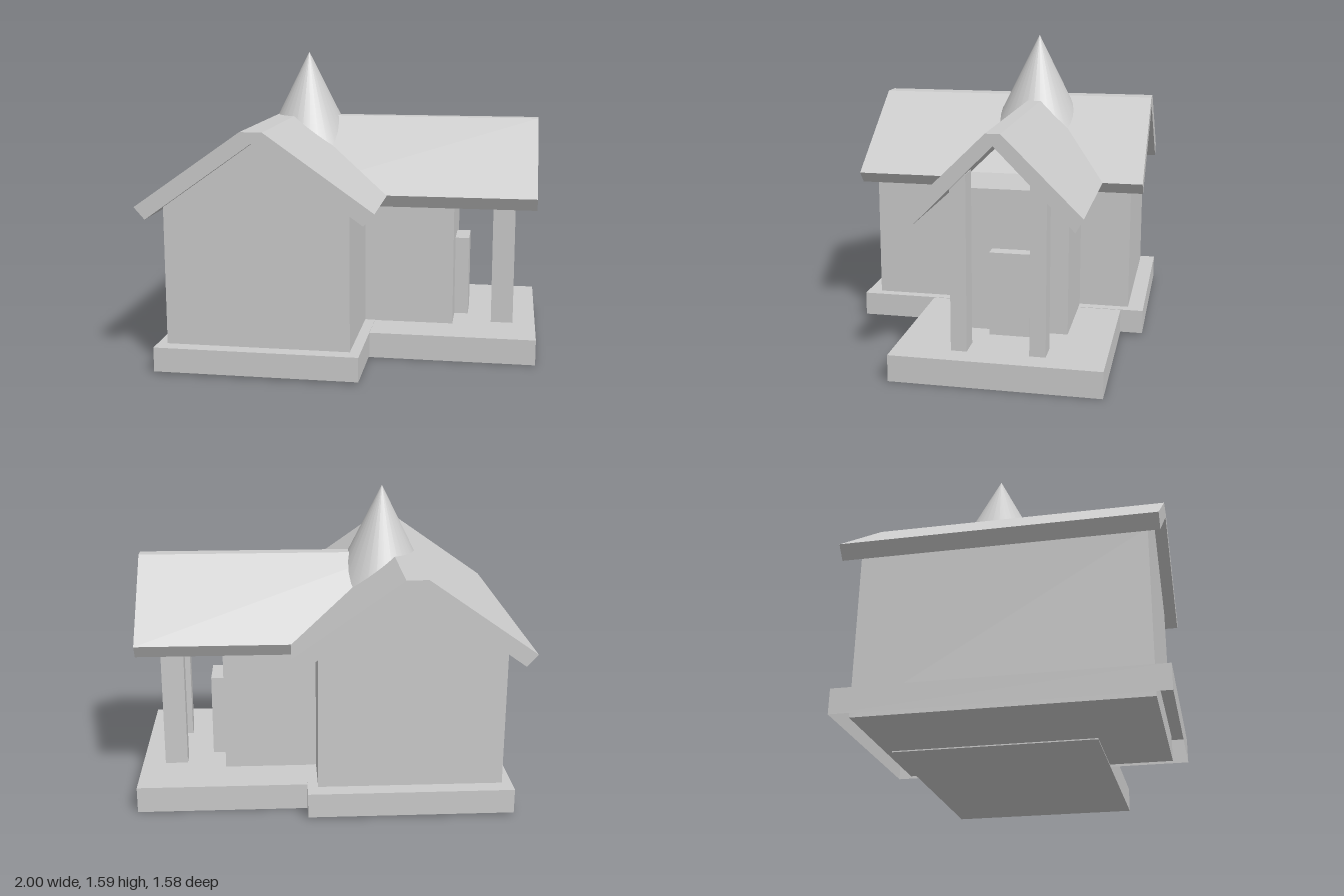
import * as THREE from 'three';

const grey = new THREE.MeshStandardMaterial({ color: 0xcccccc });
const greyDouble = new THREE.MeshStandardMaterial({ color: 0xcccccc, side: THREE.DoubleSide });

const WING_Z = -0.143;   // centre line of the porch wing
const HOUSE_X = -0.397;  // centre line of the main house

export function createModel() {
  const model = new THREE.Group();
  model.name = 'house';

  const add = (name, geometry, material = grey) => {
    const mesh = new THREE.Mesh(geometry, material);
    mesh.name = name;
    model.add(mesh);
    return mesh;
  };

  // Box given by its minimum and maximum corners
  const box = (name, [x0, y0, z0], [x1, y1, z1], material) => {
    const geometry = new THREE.BoxGeometry(x1 - x0, y1 - y0, z1 - z0);
    geometry.translate((x0 + x1) / 2, (y0 + y1) / 2, (z0 + z1) / 2);
    return add(name, geometry, material);
  };

  // Symmetric outline extruded along z from "from" to "to"
  const extrude = (points, from, to) => {
    const shape = new THREE.Shape(points.map(([x, y]) => new THREE.Vector2(x, y)));
    return new THREE.ExtrudeGeometry(shape, { depth: to - from, bevelEnabled: false }).translate(0, 0, from);
  };

  // Gabled roof outline with a flat ridge and square-cut eaves
  const roofOutline = (ridge, ridgeY, eave, eaveY, under, underY, apexY) => [
    [-under, underY], [0, apexY], [under, underY], [eave, eaveY],
    [ridge, ridgeY], [-ridge, ridgeY], [-eave, eaveY],
  ];

  // Foundations: the one below the house is open underneath
  const plinth = box('houseFoundation', [-0.92, 0.01, -0.79], [0.13, 0.137, 0.785], greyDouble);
  const faces = Array.from(plinth.geometry.index.array);
  faces.splice(18, 6);
  plinth.geometry.setIndex(faces);
  plinth.geometry.clearGroups();
  box('porchFoundation', [-0.36, 0, -0.67], [1, 0.135, 0.38]);

  // Main house with gabled ends
  const walls = extrude([[-0.473, 0.006], [0.473, 0.006], [0.473, 0.855], [0, 1.19], [-0.473, 0.855]], -0.706, 0.709);
  add('houseWalls', walls.translate(HOUSE_X, 0, 0));
  const mainRoof = extrude(roofOutline(0.056, 1.241, 0.603, 0.857, 0.548, 0.795, 1.185), -0.775, 0.772);
  add('mainRoof', mainRoof.translate(HOUSE_X, 0, 0));

  // Entrance wing and its door
  box('entranceWalls', [0.04, 0.13, WING_Z - 0.296], [0.555, 0.88, WING_Z + 0.296]);
  box('door', [0.54, 0.13, -0.253], [0.63, 0.57, -0.047]);

  // Wing roof, running out over the porch
  const wingRoof = extrude(roofOutline(0.036, 1.237, 0.422, 0.858, 0.384, 0.792, 1.18), -0.35, 0.99);
  add('porchRoof', wingRoof.rotateY(Math.PI / 2).translate(0, 0, WING_Z));

  // Porch posts, ending inside the roof
  for (const side of [-1, 1]) {
    const z = WING_Z + side * 0.195;
    box(side > 0 ? 'frontPost' : 'backPost', [0.762, 0.13, z - 0.04], [0.88, 1.02, z + 0.04]);
  }

  // Conical spire where the two roofs meet
  const top = 1.588, bottom = 1.03;
  const spire = new THREE.ConeGeometry((top - bottom) * 0.5, top - bottom, 32);
  add('spire', spire.translate(-0.285, (top + bottom) / 2, WING_Z));

  return model;
}
